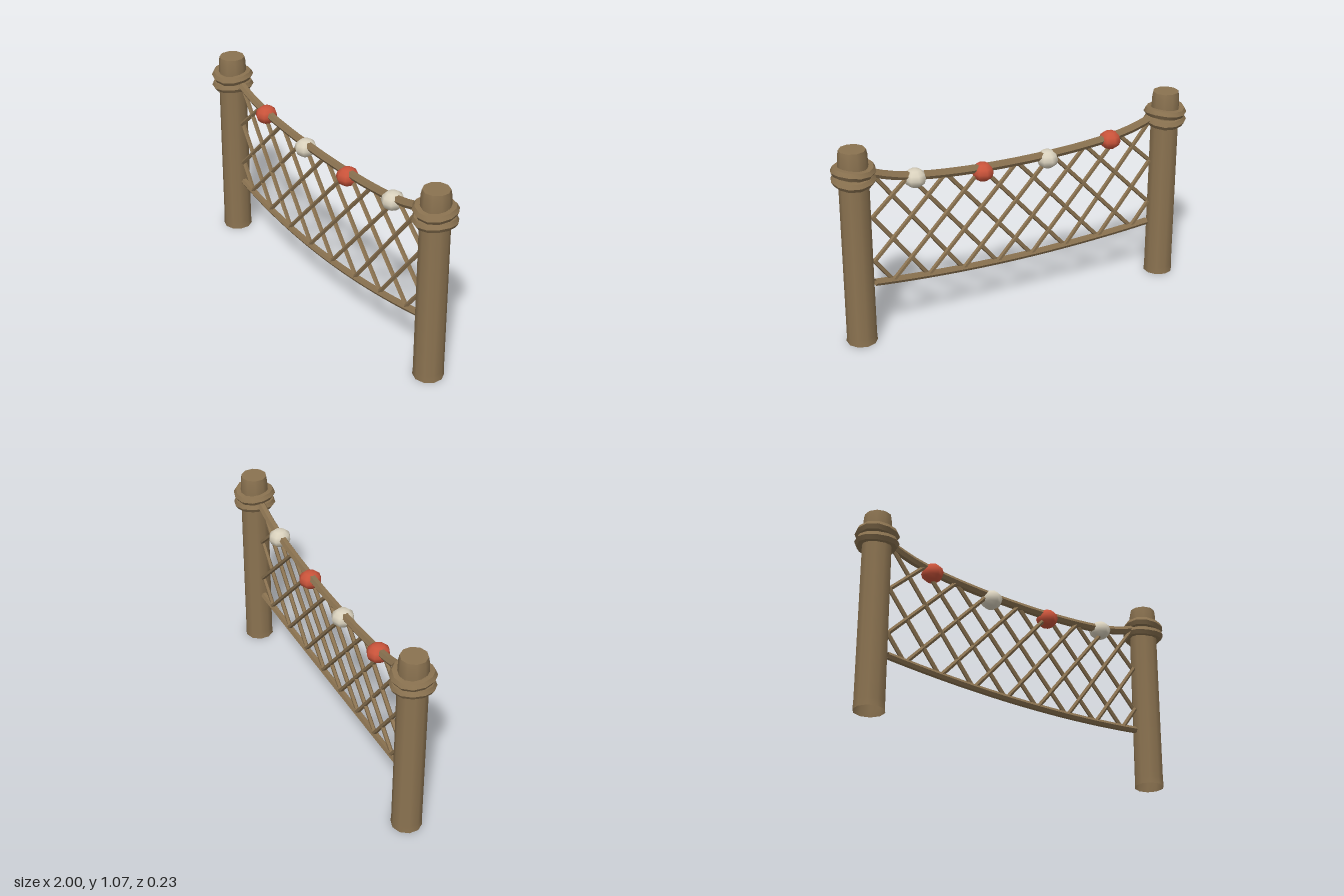
import * as THREE from 'three';
import { toCreasedNormals } from 'three/addons/utils/BufferGeometryUtils.js';

const V = (x, y, z) => new THREE.Vector3(x, y, z);

export function createModel() {
  const group = new THREE.Group();
  const paint = (name, color) => {
    const m = new THREE.MeshStandardMaterial({ color });
    m.name = name;
    return m;
  };
  const wood = paint('brown wood and rope', 0x8a7250);
  wood.side = THREE.DoubleSide; // the posts are open underneath
  const red = paint('red bead', 0xc9533a);
  const cream = paint('cream bead', 0xd9d1bd);

  const add = (name, geometry, material, parent = group) => {
    const mesh = new THREE.Mesh(geometry, material);
    mesh.name = name;
    parent.add(mesh);
    return mesh;
  };
  const rope = (points, radius, segments, closed = false, sides = 6) =>
    toCreasedNormals(new THREE.TubeGeometry(
      new THREE.CatmullRomCurve3(points, closed), segments, radius, sides, closed), 0.8);

  // Heights of the two sagging ropes, and the forward bow of the lower one
  const halfSpan = 0.8;
  const topY = x => 0.828 + 0.06 * (x / halfSpan) ** 2 + 0.038 * (x / halfSpan) ** 6;
  const lowY = x => 0.26 + 0.055 * (x / halfSpan) ** 2;
  const lowZ = x => 0.029 * (1 - (x / halfSpan) ** 2);

  // Ten-sided posts with two wavy rope lashings each
  const postProfile = [[0.08, 0], [0.0775, 0.04], [0.0755, 0.98], [0.073, 1.04], [0.068, 1.065], [0, 1.065]]
    .map(([r, y]) => new THREE.Vector2(r, y));
  for (const side of [-1, 1]) {
    const post = new THREE.Group();
    post.name = side > 0 ? 'leftPost' : 'rightPost';
    post.position.x = side * 0.887;
    group.add(post);
    add('postShaft', toCreasedNormals(new THREE.LatheGeometry(postProfile, 10), 0.7), wood, post);
    [0.906, 0.957].forEach((y, i) => {
      const points = [];
      for (let k = 0; k < 12; k++) {
        const a = k / 12 * Math.PI * 2;
        points.push(V(Math.cos(a) * 0.089, y + 0.006 * Math.sin(2 * a + 1 + i * 1.6), Math.sin(a) * 0.089));
      }
      add('lashing', rope(points, 0.025, 12, true), wood, post);
    });
  }

  // Top and bottom ropes
  const top = [], low = [];
  for (let i = 0; i <= 16; i++) {
    const x = -halfSpan + i * halfSpan / 8;
    top.push(V(x, topY(x), 0));
    low.push(V(x, lowY(x), lowZ(x)));
  }
  add('topRope', rope(top, 0.023, 24), wood);
  add('bottomRope', rope(low, 0.019, 24), wood);

  // Diagonal net strands, cut off at the posts
  const run = 0.5;
  const netPoint = (x, v, dir) => V(x,
    THREE.MathUtils.lerp(lowY(x), topY(x), v), lowZ(x) * (1 - v) + dir * 0.004);
  for (const dir of [-1, 1]) {
    for (let i = -6; i <= 6; i++) {
      const base = -0.1 + i * 0.2;
      const vAt = x => (x - base) / (dir * run);
      const va = vAt(-halfSpan), vb = vAt(halfSpan);
      const v0 = Math.max(0, Math.min(va, vb)), v1 = Math.min(1, Math.max(va, vb));
      if (v1 - v0 < 0.05) continue;
      const a = netPoint(base + dir * run * v0, v0, dir);
      const b = netPoint(base + dir * run * v1, v1, dir);
      add('netStrand', rope([a, b], 0.012, 1, false, 5), wood);
    }
  }

  // Beads strung along the top rope
  [[-0.551, 0.848], [-0.178, 0.81], [0.193, 0.81], [0.565, 0.85]].forEach(([x, y], i) => {
    const bead = add('bead', new THREE.SphereGeometry(1, 8, 6), i % 2 ? cream : red);
    bead.position.set(x, y, 0);
    bead.scale.set(0.058, 0.05, 0.061);
  });

  return group;
}
